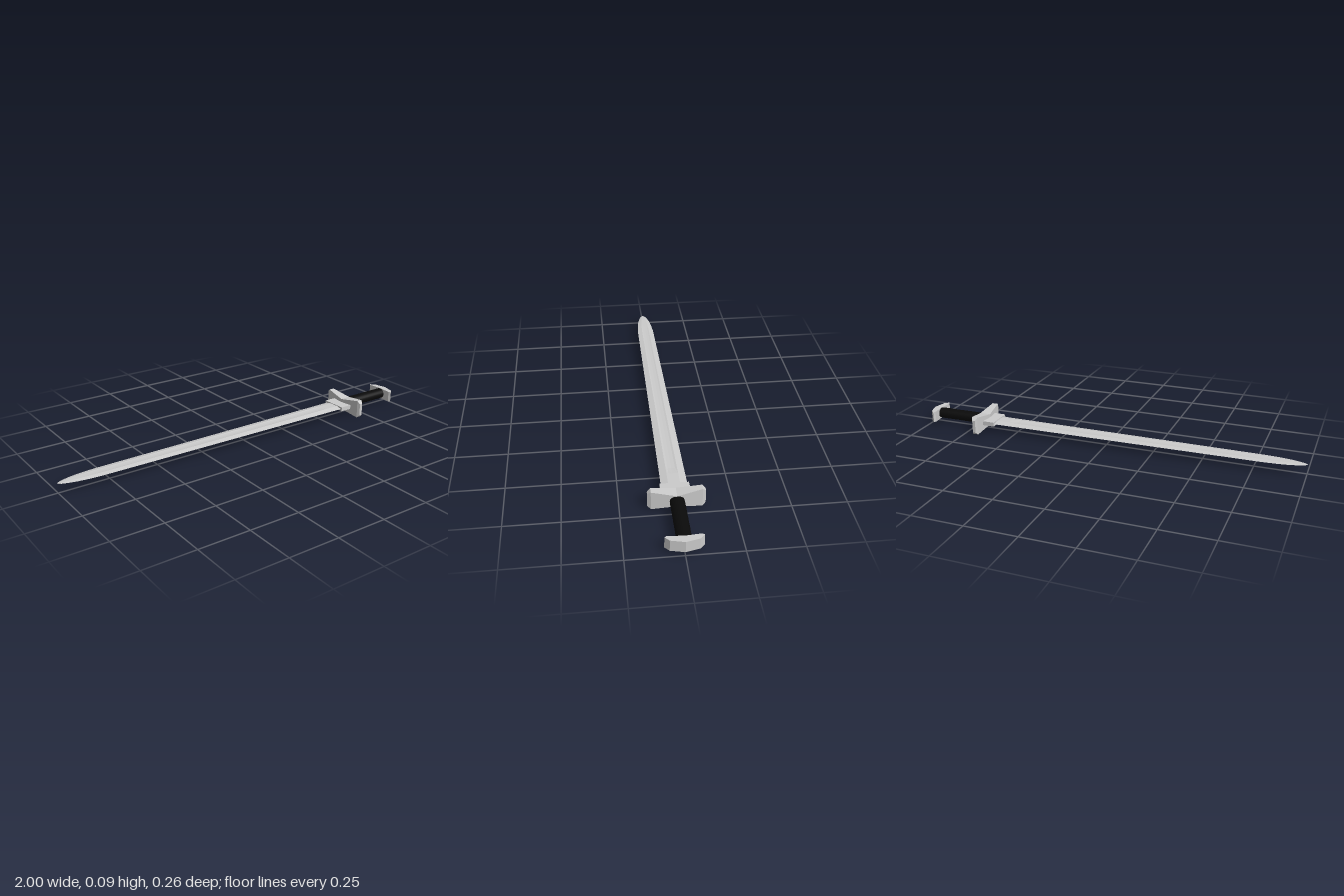
import * as THREE from 'three';

const MID = 0.048; // height of the sword's long axis

const steel = new THREE.MeshStandardMaterial({ color: 0xcccccc, flatShading: true });
const leather = new THREE.MeshStandardMaterial({ color: 0x0a0a0a });

// Skin a list of equal-length rings (each counter-clockwise about the loft axis), capping both ends.
function loft(rings) {
  const n = rings[0].length;
  const index = [];
  for (let i = 0; i < rings.length - 1; i++) {
    for (let k = 0; k < n; k++) {
      const a = i * n + k, b = i * n + (k + 1) % n;
      index.push(a, b, a + n, b, b + n, a + n);
    }
  }
  const last = (rings.length - 1) * n;
  for (let k = 1; k < n - 1; k++) {
    index.push(0, k + 1, k, last, last + k, last + k + 1);
  }
  const geo = new THREE.BufferGeometry();
  geo.setAttribute('position', new THREE.Float32BufferAttribute(rings.flat(2), 3));
  geo.setIndex(index);
  geo.computeVertexNormals();
  return geo;
}

export function createModel() {
  const sword = new THREE.Group();
  const add = (name, geo, mat = steel) => {
    const mesh = new THREE.Mesh(geo, mat);
    mesh.name = name;
    sword.add(mesh);
    return mesh;
  };

  // Blade: x, half width, half thickness, fuller depth
  const stations = [
    [-1.0, 0.001, 0.001, 0], [-0.985, 0.014, 0.002, 0], [-0.96, 0.023, 0.003, 0],
    [-0.92, 0.033, 0.0035, 0], [-0.87, 0.040, 0.004, 0.0003], [-0.8, 0.045, 0.0045, 0.0012],
    [-0.1, 0.052, 0.006, 0.002], [0.5, 0.058, 0.0075, 0.0025], [0.54, 0.0585, 0.0075, 0],
    [0.66, 0.06, 0.0075, 0],
  ];
  add('blade', loft(stations.map(([x, w, t, f]) => {
    const top = [[-1, 0], [-0.45, t], [-0.3, t - f * 0.7], [0, t - f], [0.3, t - f * 0.7], [0.45, t]];
    const under = top.map(([z, y]) => [-z, -y]);
    return [...top, ...under].map(([z, y]) => [x, MID + y, z * w]);
  })));

  // Collar over the blade's root
  add('collar', new THREE.BoxGeometry(0.08, 0.022, 0.132)).position.set(0.65, MID, 0);

  // Guard: flares towards both ends, then a chamfered tip; z, x range, half height
  const half = [[0, 0.665, 0.722, 0.028], [0.113, 0.678, 0.708, 0.047], [0.128, 0.684, 0.7, 0.033]];
  const guard = [...half.slice(1).reverse().map(([z, ...rest]) => [-z, ...rest]), ...half];
  add('guard', loft(guard.map(([z, x0, x1, h]) => [
    [x0, MID - h, z], [x1, MID - h, z], [x1, MID + h, z], [x0, MID + h, z],
  ])));

  // Grip: oval, with fine wrapped ridges
  const wraps = 22, profile = [];
  for (let i = 0; i <= wraps * 2; i++) {
    profile.push(new THREE.Vector2(i % 2 ? 0.033 : 0.0315, i / (wraps * 2) * 0.26));
  }
  const gripGeo = new THREE.LatheGeometry(profile, 24);
  gripGeo.rotateZ(-Math.PI / 2);
  gripGeo.scale(1, 0.83, 1);
  add('grip', gripGeo, leather).position.set(0.71, MID, 0);

  // Pommel: crescent outline swept through the height
  const side = [[0.985, 0.063], [0.964, 0.083], [0.957, 0.072]];
  const outline = [[1, 0], ...side, [0.963, 0], ...side.map(([x, z]) => [x, -z]).reverse()];
  const pommelGeo = new THREE.ExtrudeGeometry(
    new THREE.Shape(outline.map(([x, z]) => new THREE.Vector2(x, z))),
    { depth: 0.056, bevelEnabled: false });
  pommelGeo.rotateX(-Math.PI / 2);
  add('pommel', pommelGeo).position.y = MID - 0.028;

  return sword;
}
